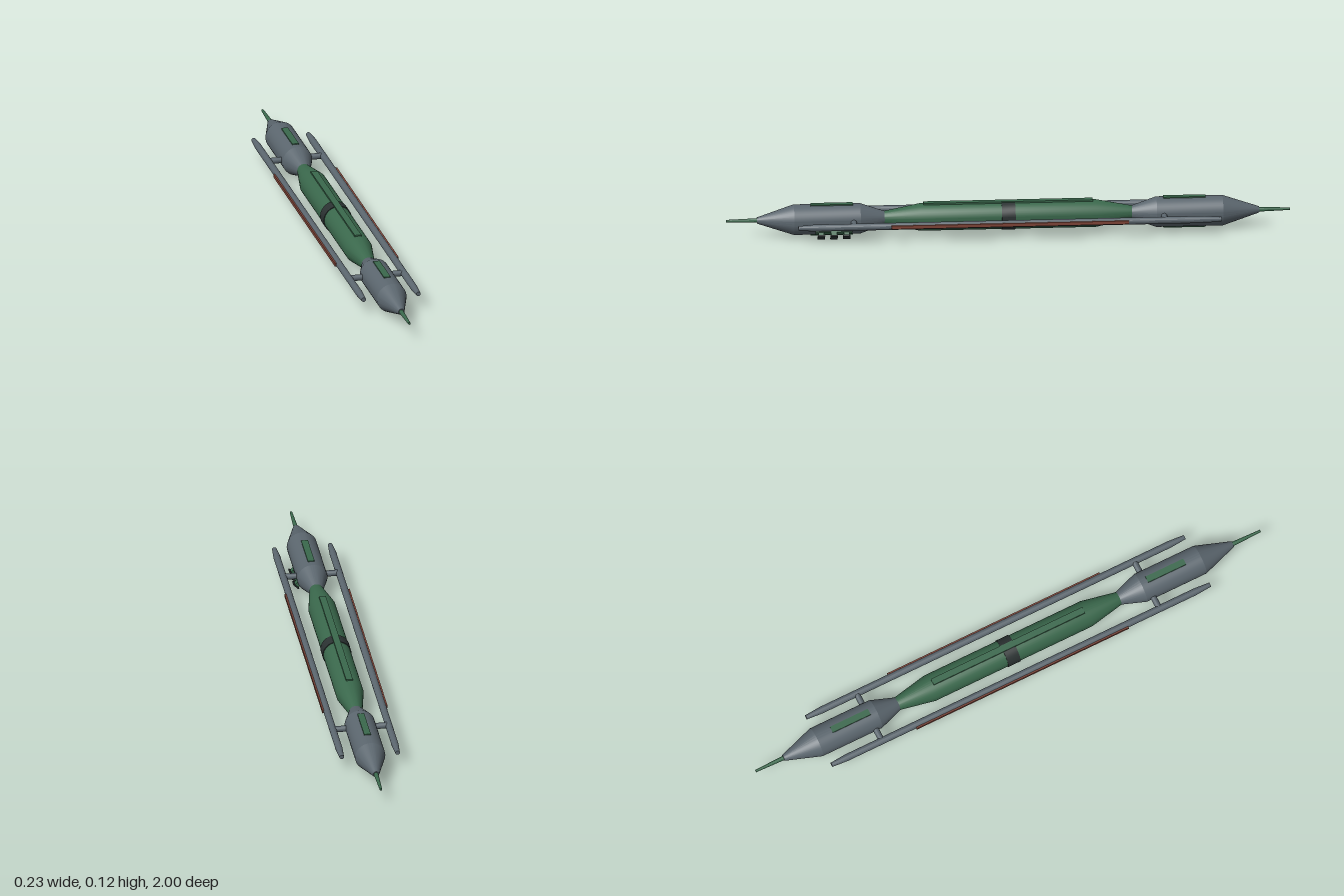
import * as THREE from 'three';
import { toCreasedNormals } from 'three/addons/utils/BufferGeometryUtils.js';

const CY = 0.064; // height of the long axis

const paint = (name, color) => {
  const m = new THREE.MeshStandardMaterial({ color });
  m.name = name;
  return m;
};

export function createModel() {
  const grey = paint('slate grey', 0x5b666e);
  const green = paint('hull green', 0x3a684c);
  const dark = paint('dark trim', 0x2b3232);
  const rust = paint('rust red', 0x804538);

  const model = new THREE.Group();
  const craft = new THREE.Group();
  craft.name = 'craft';
  craft.position.y = CY;
  model.add(craft);

  const add = (name, geometry, material, x = 0, y = 0, z = 0, parent = craft) => {
    const mesh = new THREE.Mesh(geometry, material);
    mesh.name = name;
    mesh.position.set(x, y, z);
    parent.add(mesh);
    return mesh;
  };

  // Turned part along z from [radius, z] pairs
  const turned = (profile, sides = 40) => {
    const points = profile.map(([r, z]) => new THREE.Vector2(r, z));
    const geometry = new THREE.LatheGeometry(points, sides).rotateX(Math.PI / 2);
    return toCreasedNormals(geometry, 0.28);
  };
  const box = (w, h, d) => new THREE.BoxGeometry(w, h, d);

  // Middle hull with its raised spine and centre band
  add('middleHull', turned([[0, -0.45], [0.022, -0.45], [0.049, -0.31], [0.049, 0.31],
    [0.022, 0.45], [0, 0.45]]), green);
  add('centreBand', turned([[0.048, -0.024], [0.0515, -0.024], [0.0515, 0.024], [0.048, 0.024]]), dark);
  add('spine', box(0.024, 0.008, 0.6), green, 0, 0.0495, 0);

  // Matching pods at both ends
  for (const end of [1, -1]) {
    const pod = new THREE.Group();
    pod.name = end > 0 ? 'frontPod' : 'rearPod';
    pod.rotation.y = end > 0 ? 0 : Math.PI;
    craft.add(pod);
    add('podHull', turned([[0, 0.435], [0.023, 0.435], [0.054, 0.525], [0.054, 0.76],
      [0.011, 0.89], [0, 0.89]]), grey, 0, 0, 0, pod);
    add('needle', turned([[0.0085, 0.88], [0.0045, 1], [0, 1]], 12), green, 0, 0, 0, pod);
    for (const side of [1, -1]) {
      add(side > 0 ? 'topPanel' : 'bottomPanel', box(0.024, 0.006, 0.15), green,
        0, side * 0.0535, 0.625, pod);
    }
    add('crossStrut', new THREE.CylinderGeometry(0.011, 0.011, 0.2, 16).rotateZ(Math.PI / 2),
      grey, 0, 0, 0.55, pod);
  }

  // Side rails with outer strips
  for (const side of [1, -1]) {
    const rail = new THREE.Group();
    rail.name = side > 0 ? 'leftRail' : 'rightRail';
    rail.position.x = side * 0.1;
    craft.add(rail);
    add('railTube', turned([[0, -0.75], [0.008, -0.75], [0.0125, -0.69], [0.0125, 0.69],
      [0.008, 0.75], [0, 0.75]], 16), grey, 0, 0, 0, rail);
    add('railStrip', box(0.006, 0.012, 0.84), rust, side * 0.0135, 0, 0, rail);
  }

  // Sensor mount on the lower left of the front pod
  const sensor = new THREE.Group();
  sensor.name = 'sensorMount';
  sensor.rotation.z = -Math.PI / 4;
  craft.add(sensor);
  add('mountBase', box(0.012, 0.02, 0.13), green, 0.051, 0, 0.62, sensor);
  for (const z of [0.575, 0.62, 0.665]) {
    add('sensorHousing', box(0.014, 0.016, 0.02), green, 0.063, 0, z, sensor);
    add('sensorFace', box(0.005, 0.026, 0.026), dark, 0.0725, 0, z, sensor);
  }

  return model;
}
